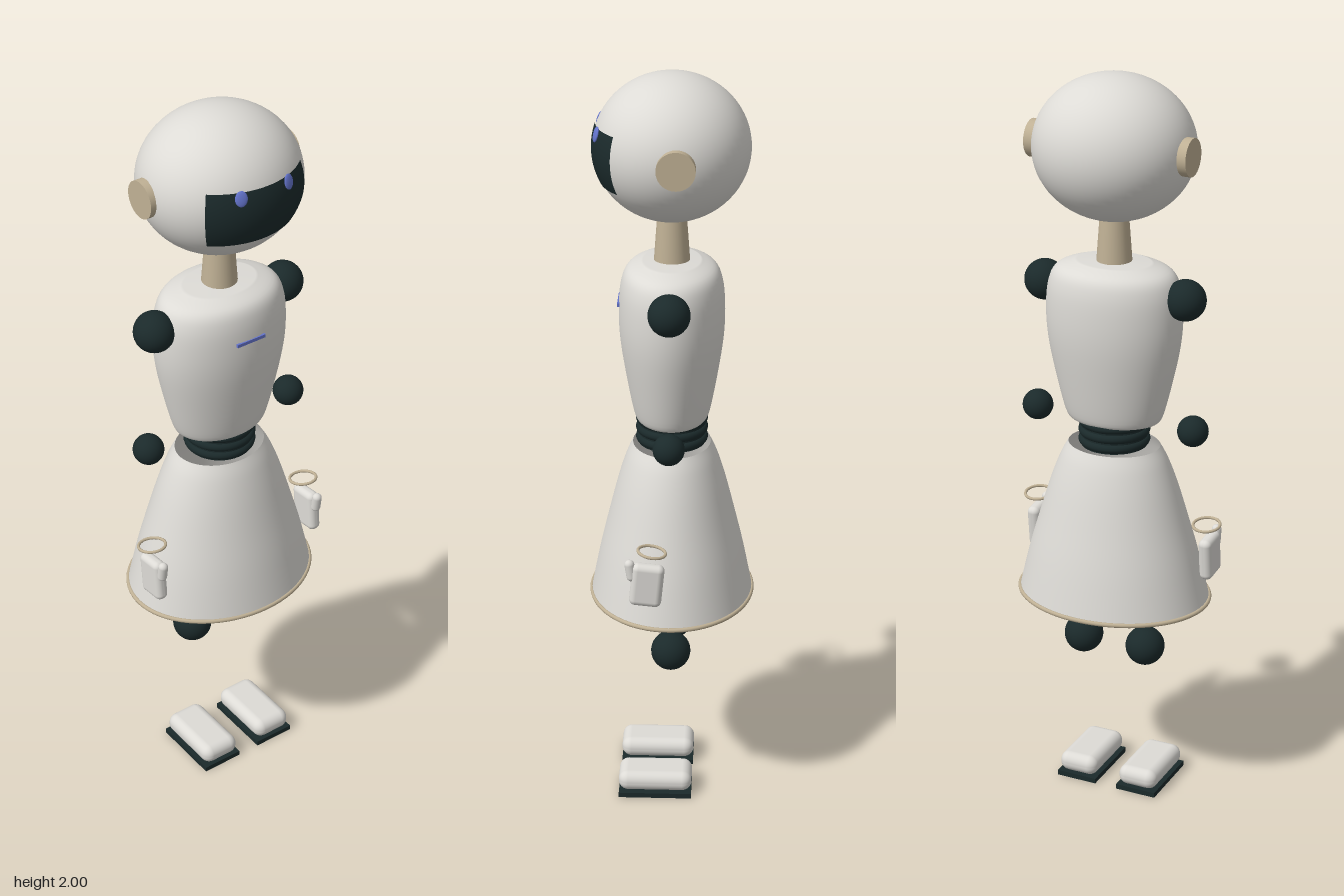
import * as THREE from 'three';
import { RoundedBoxGeometry } from 'three/addons/geometries/RoundedBoxGeometry.js';

const material = (name, color, side = THREE.FrontSide) => {
  const m = new THREE.MeshStandardMaterial({ color, side });
  m.name = name;
  return m;
};

export function createModel() {
  const robot = new THREE.Group();
  robot.name = 'robot';
  const shell = material('shell white', 0xdddbd6, THREE.DoubleSide);
  const dark = material('dark joint', 0x1b2a2b);
  const tan = material('warm trim', 0xc0b195);
  const blue = material('blue light', 0x6474cc);

  const add = (name, geometry, mat, x = 0, y = 0, z = 0, parent = robot) => {
    const mesh = new THREE.Mesh(geometry, mat);
    mesh.name = name;
    mesh.position.set(x, y, z);
    parent.add(mesh);
    return mesh;
  };
  const ball = (name, r, x, y, z = 0) =>
    add(name, new THREE.SphereGeometry(r, 32, 20), dark, x, y, z);
  const smoothProfile = (points, n) =>
    new THREE.SplineCurve(points.map(([r, y]) => new THREE.Vector2(r, y))).getPoints(n);

  // Head with a curved visor hugging its surface
  add('head', new THREE.SphereGeometry(1, 56, 36), shell, 0, 1.812, 0).scale.set(0.212, 0.188, 0.2);
  add('visor', new THREE.SphereGeometry(1, 32, 14, Math.PI / 2 - 0.76, 1.52, Math.PI / 2 - 0.336, 0.809),
    dark, 0, 1.812, 0).scale.set(0.215, 0.191, 0.203);

  // Neck
  add('neck', new THREE.CylinderGeometry(0.037, 0.048, 0.15, 32), tan, 0, 1.565, 0);

  // Torso: oval lathe with rounded shoulders
  const torso = smoothProfile([[0.115, 1.08], [0.133, 1.098], [0.16, 1.2], [0.18, 1.3], [0.185, 1.38],
    [0.178, 1.45], [0.155, 1.492], [0.1, 1.513]], 40);
  torso.unshift(new THREE.Vector2(0, 1.08));
  torso.push(new THREE.Vector2(0, 1.516));
  add('torso', new THREE.LatheGeometry(torso, 56), shell).scale.z = 0.74;
  add('chestLight', new THREE.BoxGeometry(0.086, 0.009, 0.008), blue, 0, 1.402, 0.135);

  // Ribbed waist
  add('waistCore', new THREE.CylinderGeometry(0.088, 0.088, 0.08, 40), dark, 0, 1.05, 0);
  for (let i = 0; i < 3; i++) {
    add('waistRib', new THREE.TorusGeometry(0.082, 0.013, 12, 40), dark, 0, 1.024 + i * 0.027, 0)
      .rotation.x = Math.PI / 2;
  }

  // Open flared skirt with a thin hem
  const skirt = smoothProfile([[0.263, 0.58], [0.234, 0.7], [0.205, 0.8], [0.174, 0.9],
    [0.147, 0.97], [0.125, 1.01]], 30);
  add('skirt', new THREE.LatheGeometry(skirt, 64), shell).scale.z = 0.82;
  const hem = add('skirtHem', new THREE.TorusGeometry(0.263, 0.006, 10, 72), tan, 0, 0.582, 0);
  hem.rotation.x = Math.PI / 2;
  hem.scale.y = 0.82;

  // Mirrored parts
  for (const [side, s] of [['left', 1], ['right', -1]]) {
    const eye = add(side + 'Eye', new THREE.SphereGeometry(1, 20, 14), blue, s * 0.07, 1.861, 0.186);
    eye.scale.set(0.016, 0.02, 0.005);
    eye.rotation.set(-0.25, s * 0.33, 0, 'YXZ');
    add(side + 'Ear', new THREE.CylinderGeometry(0.049, 0.049, 0.03, 36), tan, s * 0.209, 1.814, -0.017)
      .rotation.z = Math.PI / 2;

    ball(side + 'Shoulder', 0.054, s * 0.2, 1.434);
    ball(side + 'Elbow', 0.041, s * 0.225, 1.08);
    ball(side + 'Knee', 0.053, s * 0.092, 0.431);

    // Wrist ring and hand, leaning slightly forward
    add(side + 'WristRing', new THREE.TorusGeometry(0.036, 0.004, 10, 36), tan, s * 0.249, 0.802, 0.043)
      .rotation.x = Math.PI / 2 - 0.15;
    const hand = new THREE.Group();
    hand.name = side + 'Hand';
    hand.position.set(s * 0.254, 0.71, 0.056);
    hand.rotation.x = -0.1;
    robot.add(hand);
    add('palm', new RoundedBoxGeometry(0.036, 0.118, 0.084, 4, 0.016), shell, 0, 0, 0, hand);
    const thumb = add('thumb', new THREE.CapsuleGeometry(0.013, 0.034, 6, 16), shell, 0, 0.036, 0.046, hand);
    thumb.rotation.x = 0.25;

    // Shoe on a flat sole
    add(side + 'Shoe', new RoundedBoxGeometry(0.112, 0.056, 0.2, 5, 0.026), shell, s * 0.09, 0.042, 0.042);
    add(side + 'Sole', new THREE.BoxGeometry(0.116, 0.014, 0.198), dark, s * 0.09, 0.007, 0.042);
  }
  return robot;
}
